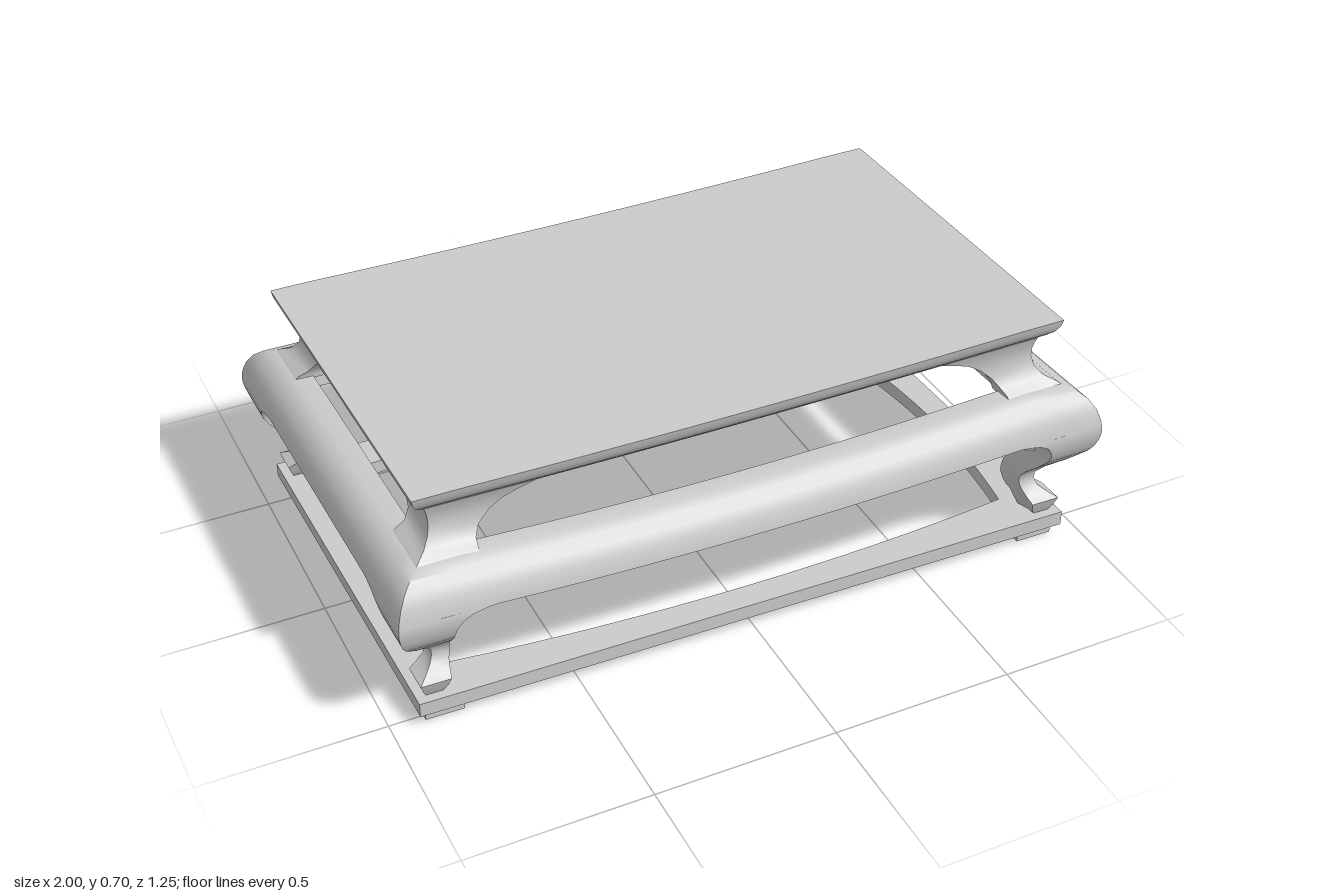
import * as THREE from 'three';
import { toCreasedNormals } from 'three/addons/utils/BufferGeometryUtils.js';

// Half length and half depth of the table at its widest (the apron)
const X = 0.98, Z = 0.61;
const material = new THREE.MeshStandardMaterial({ color: 0xcccccc, side: THREE.DoubleSide });

// Slightly crooked, hand-made shape: corners [x, z, height change, lean of the top in x, in z]
const corners = [
  [-1, -0.63, -0.02, -0.005, 0], [0.952, -0.6, 0.002, 0.02, -0.005],
  [-0.98, 0.59, -0.008, -0.005, 0.005], [1, 0.625, 0.018, -0.012, 0.005],
];
function warp(x, y, z) {
  const u = (x / X + 1) / 2, v = (z / Z + 1) / 2;
  const w = [(1 - u) * (1 - v), u * (1 - v), (1 - u) * v, u * v];
  const mix = (i) => corners.reduce((sum, c, k) => sum + c[i] * w[k], 0);
  // Long sides sag, most of all the apron
  const sag = y > 0.55 ? 0.009 : y > 0.3 ? 0.026 : 0;
  const drop = sag * Math.max(0, 1 - (x / 0.8) ** 2);
  const lean = THREE.MathUtils.clamp((y - 0.49) / 0.12, 0, 1);
  return [mix(0) + lean * mix(3), y + mix(2) * y / 0.685 - drop, mix(1) + lean * mix(4)];
}

function makeMesh(name, positions, crease = 0.6) {
  let geometry = new THREE.BufferGeometry();
  geometry.setAttribute('position', new THREE.Float32BufferAttribute(positions, 3));
  geometry = toCreasedNormals(geometry, crease);
  const mesh = new THREE.Mesh(geometry, material);
  mesh.name = name;
  return mesh;
}

// Mitred frame: profile points are [inset, y, bow], ordered top, outside, bottom, inside
function frame(name, profile, closed = true, segments = 16) {
  const out = [];
  const turn = [(a, o) => [a, o], (a, o) => [o, -a], (a, o) => [-a, -o], (a, o) => [-o, a]];
  for (let k = 0; k < 4; k++) {
    const [A, B] = k % 2 ? [Z, X] : [X, Z];
    const point = ([d, y, bow = 0], s) => {
      const [x, z] = turn[k](s * (A - d), B - d + bow * (1 - s * s));
      return warp(x, y, z);
    };
    const count = closed ? profile.length : profile.length - 1;
    for (let j = 0; j < count; j++) {
      const p = profile[j], q = profile[(j + 1) % profile.length];
      for (let i = 0; i < segments; i++) {
        const s0 = -1 + 2 * i / segments, s1 = -1 + 2 * (i + 1) / segments;
        const a = point(p, s0), b = point(p, s1), c = point(q, s1), d = point(q, s0);
        out.push(...a, ...d, ...c, ...a, ...c, ...b);
      }
    }
  }
  return makeMesh(name, out);
}

// Corner post: rows [y, outer inset, face edge inset, thickness], from the bottom up.
// Wide faces give an L section, narrow ones a kite set on the diagonal.
function cornerPost(name, rows, sx, sz) {
  const out = [];
  const loops = rows.map(([y, d, e, t]) => {
    const i = d + t, m = Math.min(i, (d + e) / 2);
    return [[e, d], [d, d], [d, e], [m, e], [i, i], [e, m]]
      .map(([dx, dz]) => warp(sx * (X - dx), y, sz * (Z - dz)));
  });
  const tri = (a, b, c) => (sx * sz > 0 ? out.push(...a, ...b, ...c) : out.push(...a, ...c, ...b));
  for (let r = 0; r + 1 < loops.length; r++) {
    const p = loops[r], q = loops[r + 1];
    for (let i = 0; i < 6; i++) {
      const n = (i + 1) % 6;
      tri(p[i], p[n], q[n]);
      tri(p[i], q[n], q[i]);
    }
  }
  // End caps, fanned from the outer corner
  const first = loops[0], last = loops[loops.length - 1];
  for (let i = 2; i < 5; i++) {
    tri(last[1], last[i], last[i + 1]);
    tri(first[1], first[i + 1], first[i]);
  }
  tri(last[1], last[5], last[0]);
  tri(first[1], first[0], first[5]);
  return makeMesh(name, out);
}

// Scrolled leg
const legRows = [
  [0.072, 0.082, 0.125, 0.055], [0.095, 0.072, 0.138, 0.075], [0.12, 0.064, 0.145, 0.092],
  [0.133, 0.085, 0.15, 0.08], [0.15, 0.106, 0.156, 0.066], [0.17, 0.114, 0.161, 0.063],
  [0.19, 0.113, 0.162, 0.065], [0.215, 0.095, 0.158, 0.08], [0.25, 0.058, 0.15, 0.1],
  [0.29, 0.022, 0.145, 0.095], [0.31, 0.011, 0.145, 0.08], [0.33, 0.005, 0.15, 0.07],
  [0.352, 0.001, 0.165, 0.065], [0.366, 0.001, 0.19, 0.06], [0.375, 0.002, 0.225, 0.06],
  [0.38, 0.003, 0.265, 0.06],
];
// Arched bracket in the waist, between apron and top
const bracketRows = [
  [0.478, 0.075, 0.245, 0.1], [0.492, 0.092, 0.245, 0.09], [0.505, 0.118, 0.25, 0.065],
  [0.53, 0.136, 0.265, 0.055], [0.56, 0.143, 0.298, 0.05], [0.585, 0.142, 0.335, 0.05],
  [0.604, 0.138, 0.378, 0.05], [0.62, 0.133, 0.42, 0.05],
];
// Small L-shaped pad under the base frame
const footRows = [[0, 0.073, 0.177, 0.05], [0.036, 0.073, 0.177, 0.05]];

export function createModel() {
  const group = new THREE.Group();

  // Table top: flat surface, moulded edge and flat underside
  group.add(frame('tableTop', [
    [Z, 0.686], [0.09, 0.686], [0.094, 0.666], [0.105, 0.646], [0.122, 0.63], [0.143, 0.62],
    [0.143, 0.612], [Z, 0.612],
  ], false));

  // Bulging apron with a flat underside
  group.add(frame('apron', [
    [0.135, 0.484], [0.085, 0.486], [0.055, 0.474], [0.032, 0.453], [0.015, 0.425], [0.006, 0.398],
    [0.002, 0.379], [0.15, 0.379],
  ]));

  // Base frame with inner edges that narrow towards the middle
  group.add(frame('baseFrame', [
    [0.175, 0.075, 0.045], [0.054, 0.075], [0.054, 0.033], [0.175, 0.033, 0.045],
  ]));

  // Legs, brackets and feet on all four corners
  for (const sx of [1, -1]) {
    for (const sz of [1, -1]) {
      group.add(
        cornerPost('leg', legRows, sx, sz),
        cornerPost('waistBracket', bracketRows, sx, sz),
        cornerPost('foot', footRows, sx, sz),
      );
    }
  }
  return group;
}
